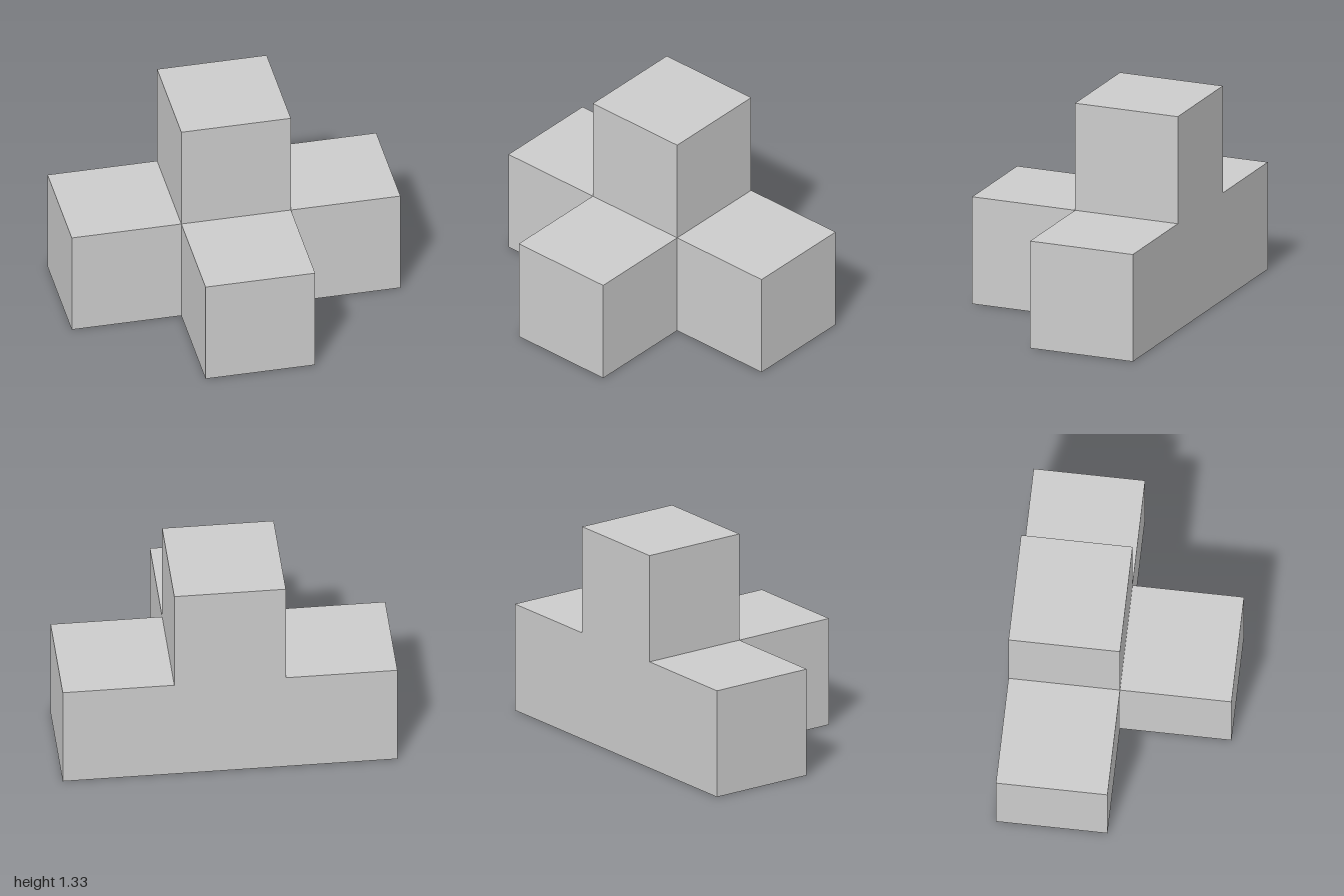
import * as THREE from 'three';
import { mergeGeometries } from 'three/addons/utils/BufferGeometryUtils.js';

const S = 2 / 3; // edge of one cube

// Cubes on a unit grid around the core
const cubes = {
  coreCube: [0, 0, 0],
  leftCube: [1, 0, 0],
  rightCube: [-1, 0, 0],
  topCube: [0, 1, 0],
  frontCube: [0, 0, 1],
};

const directions = [
  [1, 0, 0], [-1, 0, 0], [0, 1, 0], [0, -1, 0], [0, 0, 1], [0, 0, -1],
].map((d) => new THREE.Vector3(...d));

const isFilled = (p) => Object.values(cubes).some((c) => p.equals(new THREE.Vector3(...c)));

// One square side of a cube, facing along the given direction
function side(direction) {
  const turn = new THREE.Quaternion().setFromUnitVectors(new THREE.Vector3(0, 0, 1), direction);
  return new THREE.PlaneGeometry(S, S)
    .translate(0, 0, S / 2)
    .applyQuaternion(turn);
}

export function createModel() {
  const group = new THREE.Group();
  group.name = 'joinedCubes';
  const material = new THREE.MeshStandardMaterial({ color: 0xcccccc, flatShading: true });

  for (const [name, cell] of Object.entries(cubes)) {
    const at = new THREE.Vector3(...cell);
    // Keep only the sides that do not touch a neighbouring cube
    const exposed = directions.filter((d) => !isFilled(at.clone().add(d)));
    const mesh = new THREE.Mesh(mergeGeometries(exposed.map(side)), material);
    mesh.name = name;
    mesh.position.copy(at).multiplyScalar(S).add(new THREE.Vector3(0, S / 2, -S / 2));
    group.add(mesh);
  }
  return group;
}
